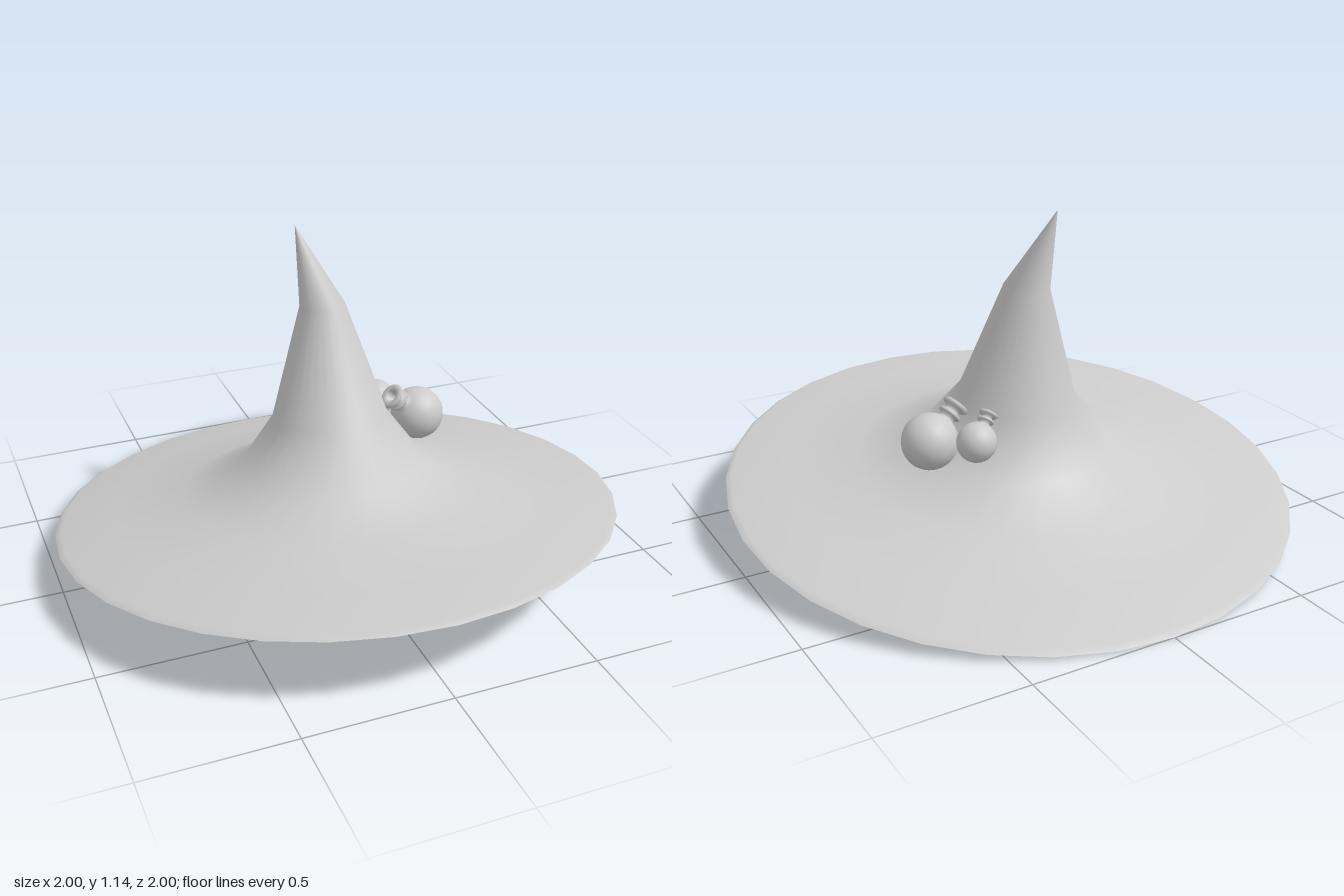
import * as THREE from 'three';

const material = new THREE.MeshStandardMaterial({ color: 0xcccccc, side: THREE.DoubleSide });
const SIDES = 32;
const TILT = 0.135; // rise of the brim per unit of z

// Cross-sections of the hat from rim to tip: [radius, centre x, y, z]
const RINGS = [
  [1.0, 0, 0.135, 0],
  [0.98, 0, 0.147, 0],
  [0.79, 0, 0.18, 0],
  [0.54, 0, 0.22, -0.01],
  [0.33, -0.005, 0.305, -0.02],
  [0.205, 0, 0.475, -0.048],
  [0.08, -0.002, 0.87, -0.11],
  [0.001, -0.07, 1.14, -0.19],
];

// Smooth skin joining tilted rings
function hatGeometry() {
  const positions = [], index = [];
  RINGS.forEach(([r, x, y, z], j) => {
    for (let i = 0; i < SIDES; i++) {
      const a = (i / SIDES) * Math.PI * 2;
      const dz = r * Math.cos(a);
      positions.push(x + r * Math.sin(a), y + dz * TILT, z + dz);
      if (j === RINGS.length - 1) continue;
      const p = j * SIDES + i, q = j * SIDES + ((i + 1) % SIDES);
      index.push(p, q, q + SIDES, p, q + SIDES, p + SIDES);
    }
  });
  const geometry = new THREE.BufferGeometry();
  geometry.setAttribute('position', new THREE.Float32BufferAttribute(positions, 3));
  geometry.setIndex(index);
  geometry.computeVertexNormals();
  return geometry;
}

// Flat disc closing the brim from below
function undersideGeometry() {
  const geometry = new THREE.CircleGeometry(1, SIDES).rotateX(Math.PI / 2);
  const p = geometry.attributes.position;
  for (let i = 0; i < p.count; i++) p.setY(i, 0.135 + p.getZ(i) * TILT);
  geometry.computeVertexNormals();
  return geometry;
}

// Round flask of unit radius with a collared neck and an open, flared mouth
function flaskGeometry() {
  const profile = [];
  for (let i = 0; i <= 14; i++) {
    const a = -Math.PI / 2 + (i / 14) * (Math.PI / 2 + 1.3);
    profile.push([Math.max(0, Math.cos(a)), Math.sin(a)]);
  }
  profile.push(
    [0.26, 1.1], [0.4, 1.13], [0.43, 1.19], [0.4, 1.25], [0.26, 1.28],
    [0.26, 1.42], [0.42, 1.46], [0.49, 1.54], [0.44, 1.62], [0.3, 1.64],
    [0.2, 1.58], [0.18, 1.2], [0, 1.2],
  );
  return new THREE.LatheGeometry(profile.map(([x, y]) => new THREE.Vector2(x, y)), 24);
}

export function createModel() {
  const model = new THREE.Group();
  model.name = 'pointedHat';
  const add = (name, geometry) => {
    const mesh = new THREE.Mesh(geometry, material);
    mesh.name = name;
    model.add(mesh);
    return mesh;
  };

  add('crownAndBrim', hatGeometry());
  add('brimUnderside', undersideGeometry());

  // Two flasks leaning against the left of the crown
  const flask = flaskGeometry();
  const up = new THREE.Vector3(0, 1, 0);
  [
    ['largeFlask', 0.097, [0.368, 0.388, -0.105], [-0.115, 0.1, 0.025]],
    ['smallFlask', 0.068, [0.26, 0.41, -0.235], [-0.065, 0.072, 0.038]],
  ].forEach(([name, size, position, axis]) => {
    const mesh = add(name, flask);
    mesh.scale.setScalar(size);
    mesh.position.set(...position);
    mesh.quaternion.setFromUnitVectors(up, new THREE.Vector3(...axis).normalize());
  });

  return model;
}
